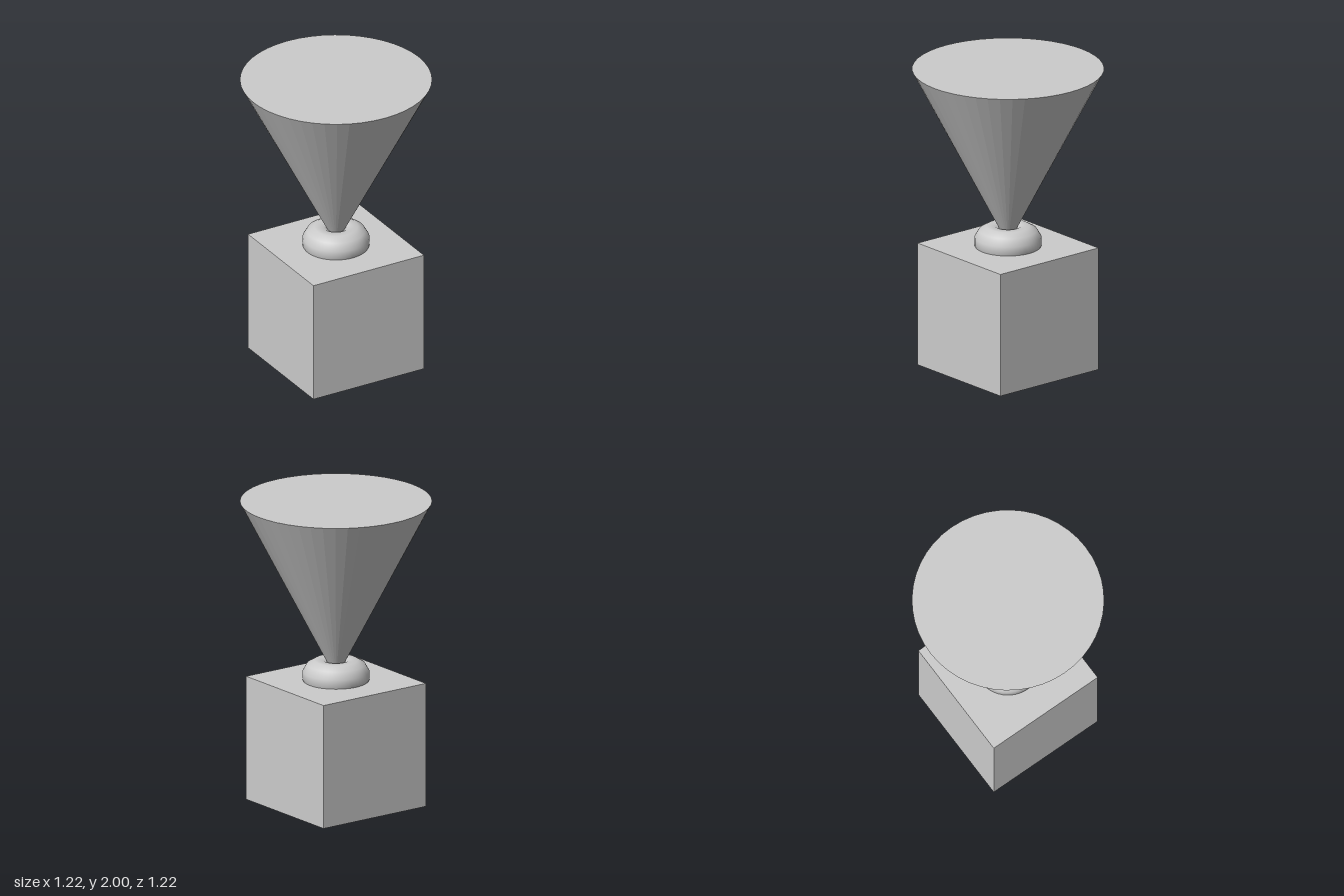
import * as THREE from 'three';

export function createModel() {
  const group = new THREE.Group();
  const add = (name, geometry, y, flatShading) => {
    const mesh = new THREE.Mesh(geometry, new THREE.MeshStandardMaterial({ color: 0xcccccc, flatShading }));
    mesh.name = name;
    mesh.position.y = y;
    group.add(mesh);
    return mesh;
  };

  // Cube base
  const size = 0.815;
  add('base', new THREE.BoxGeometry(size, size, size), size / 2, true);

  // Ring collar: twelve-sided section with a flat top, half sunk in the base
  const ringRadius = 0.111, tubeRadius = 0.105, sides = 12;
  const section = [];
  for (let i = 0; i <= sides; i++) {
    const a = -Math.PI + (i + 0.5) * 2 * Math.PI / sides;
    section.push(new THREE.Vector2(ringRadius + tubeRadius * Math.cos(a), tubeRadius * Math.sin(a)));
  }
  add('collar', new THREE.LatheGeometry(section, 48), 0.847, false);

  // Inverted cone, its tip resting inside the collar
  const tipY = 0.825, height = 2 - tipY;
  const cone = add('cone', new THREE.ConeGeometry(0.61, height, 48), tipY + height / 2, true);
  cone.rotation.x = Math.PI;

  return group;
}
